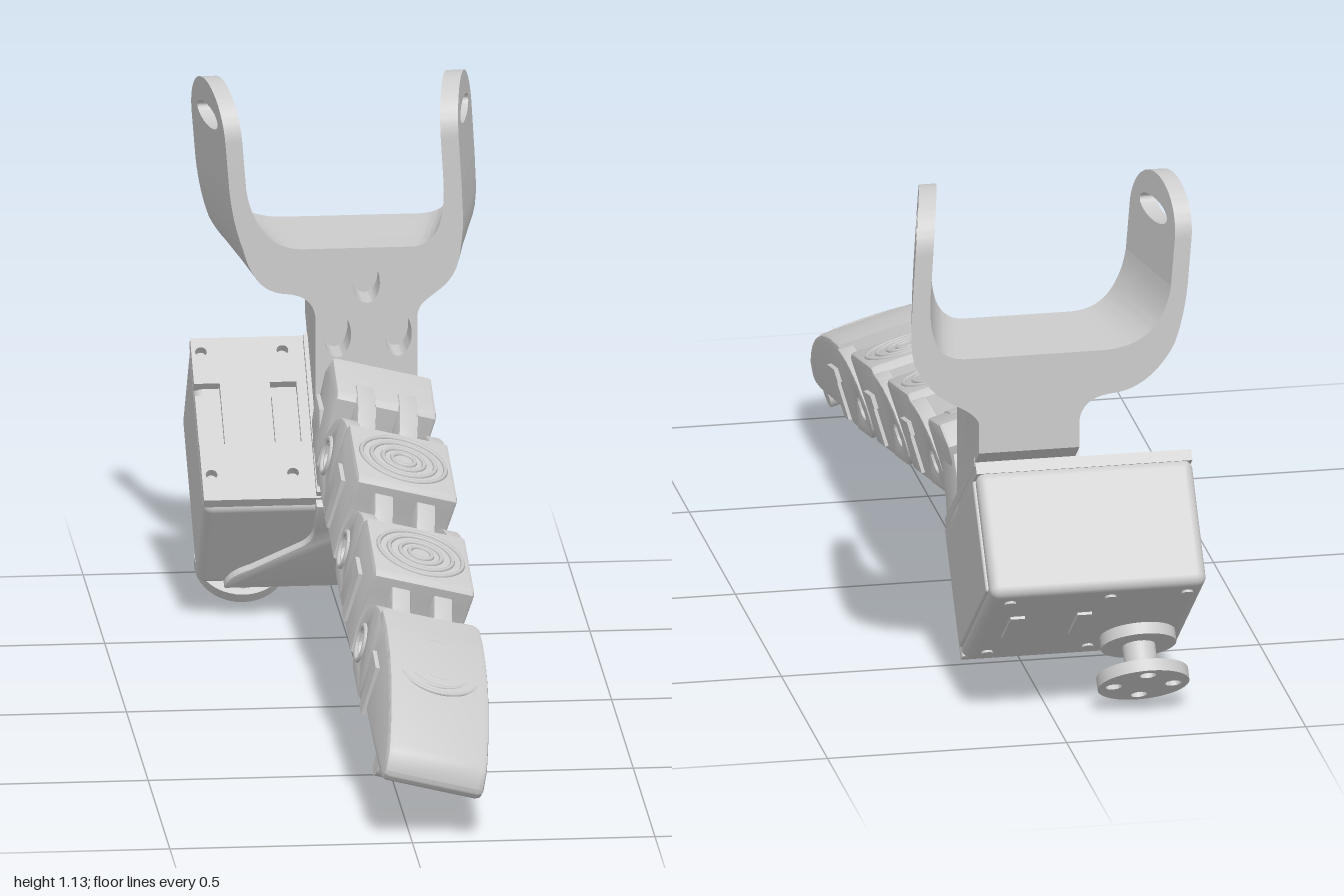
import * as THREE from 'three';
import { toCreasedNormals } from 'three/addons/utils/BufferGeometryUtils.js';
import { RoundedBoxGeometry } from 'three/addons/geometries/RoundedBoxGeometry.js';

const mat = new THREE.MeshStandardMaterial({ color: 0xcccccc });
const rad = THREE.MathUtils.degToRad;

function add(parent, name, geo, x = 0, y = 0, z = 0) {
  const m = new THREE.Mesh(geo, mat);
  m.name = name;
  m.position.set(x, y, z);
  parent.add(m);
  return m;
}
const shapeOf = pts => new THREE.Shape(pts.map(p => new THREE.Vector2(p[0], p[1])));
function circleHole(shape, x, y, rx, ry = rx) {
  shape.holes.push(new THREE.Path().absellipse(x, y, rx, ry, 0, Math.PI * 2, true));
}
function rectHole(shape, x0, y0, x1, y1) {
  shape.holes.push(new THREE.Path([[x0, y0], [x0, y1], [x1, y1], [x1, y0]].map(p => new THREE.Vector2(...p))));
}
function extrude(shape, depth, bevel = 0) {
  return new THREE.ExtrudeGeometry(shape, {
    depth: depth - 2 * bevel, curveSegments: 20, bevelEnabled: bevel > 0,
    bevelSize: bevel, bevelThickness: bevel, bevelOffset: -bevel, bevelSegments: 2,
  }).translate(0, 0, bevel);
}
// Side outline given as (z, y), extruded from x0 to x1
function sideExtrude(shape, x0, x1, bevel = 0) {
  const g = extrude(shape, x1 - x0, bevel).rotateY(-Math.PI / 2).translate(x1, 0, 0);
  return toCreasedNormals(g, 0.6);
}
const cylX = (r, len, n = 24) => new THREE.CylinderGeometry(r, r, len, n).rotateZ(Math.PI / 2);

const W = 0.107;      // half width of the finger
const STEP = 0.405;   // distance between joints
const BOT = -0.066, TOP = 0.131;

// Round-ended side plate reaching back around a joint
function earShape() {
  const s = new THREE.Shape();
  s.moveTo(0.13, BOT);
  s.lineTo(0.13, 0.115);
  s.lineTo(0.08, 0.118);
  s.quadraticCurveTo(-0.035, 0.1, -0.068, 0.01);
  s.quadraticCurveTo(-0.07, -0.05, -0.01, BOT);
  circleHole(s, 0, 0, 0.026);
  return s;
}
// Tongue that runs forward to the joint at z = j
function lugShape(j) {
  const s = new THREE.Shape();
  s.moveTo(j - 0.13, -0.055);
  s.lineTo(j, -0.06);
  s.absarc(j, 0, 0.06, -Math.PI / 2, Math.PI / 4, false);
  s.quadraticCurveTo(j - 0.02, 0.11, j - 0.13, 0.11);
  return s;
}
function lugs(parent, j) {
  for (const x of [-0.045, 0.045]) add(parent, 'jointTongue', sideExtrude(lugShape(j), x - 0.02, x + 0.02, 0.004));
}
function rings(parent, y, z, tilt) {
  const g = new THREE.Group();
  g.name = 'gripRings';
  g.position.set(0, y, z);
  g.rotation.x = tilt;
  for (const r of [0.024, 0.044, 0.068, 0.09])
    add(g, 'gripRing', new THREE.TorusGeometry(r, 0.005, 6, 48).rotateX(Math.PI / 2));
  parent.add(g);
}
// Parts shared by every phalanx: ears, hinge pin, side clips, underside screws
function phalanxBase(name, z) {
  const g = new THREE.Group();
  g.name = name;
  g.position.z = z;
  for (const s of [-1, 1]) {
    add(g, 'hingeEar', sideExtrude(earShape(), s > 0 ? W - 0.034 : -W, s > 0 ? W : -W + 0.034, 0.004));
    add(g, 'sideClip', new THREE.BoxGeometry(0.012, 0.11, 0.045), s * (W + 0.001), 0.005, 0.2);
    add(g, 'sideClipTab', new THREE.BoxGeometry(0.016, 0.03, 0.075), s * (W + 0.001), 0.05, 0.19);
    for (const dz of [0.11, 0.29])
      add(g, 'undersideScrew', new THREE.CylinderGeometry(0.012, 0.012, 0.008, 16), s * 0.075, BOT, dz === 0.29 ? 0.16 : dz);
  }
  add(g, 'hingePin', cylX(0.022, 2 * W - 0.012));
  add(g, 'pinCollar', new THREE.TorusGeometry(0.036, 0.006, 8, 28).rotateY(Math.PI / 2), -W, 0, 0);
  return g;
}

function phalanx(name, z) {
  const g = phalanxBase(name, z);
  const body = shapeOf([[0.085, BOT], [0.325, BOT], [0.318, 0], [0.33, 0.08], [0.335, TOP - 0.008],
    [0.32, TOP], [0.1, TOP], [0.085, TOP - 0.015]]);
  add(g, 'phalanxBody', sideExtrude(body, -W, W, 0.008));
  rings(g, TOP, 0.21, 0);
  lugs(g, STEP);
  return g;
}

function fingertip(z) {
  const g = phalanxBase('fingertip', z);
  const s = new THREE.Shape();
  s.moveTo(0.085, BOT);
  s.lineTo(0.18, BOT);
  s.lineTo(0.19, -0.045);
  s.lineTo(0.51, -0.035);
  s.quadraticCurveTo(0.555, -0.03, 0.55, 0.0);
  s.lineTo(0.525, 0.035);
  s.bezierCurveTo(0.43, 0.09, 0.3, 0.128, 0.15, 0.13);
  s.lineTo(0.07, 0.125);
  add(g, 'fingertipBody', sideExtrude(s, -W, W, 0.012));
  rings(g, 0.114, 0.27, 0.12);
  for (const x of [-0.065, 0.065]) add(g, 'tipRoller', cylX(0.028, 0.08), x, -0.036, 0.45);
  return g;
}

function finger() {
  const g = new THREE.Group();
  g.name = 'finger';
  g.position.set(0.046, 0.416, -0.33);
  g.rotation.set(rad(12), 0, rad(-15));
  const base = shapeOf([[-0.075, BOT], [-0.075, 0.095], [-0.09, 0.105], [-0.225, 0.11], [-0.255, 0.065],
    [-0.23, 0], [-0.16, BOT]]);
  add(g, 'knuckleBlock', sideExtrude(base, -W, W, 0.008));
  lugs(g, 0);
  g.add(phalanx('innerPhalanx', 0), phalanx('middlePhalanx', STEP), fingertip(2 * STEP));
  return g;
}

function motor() {
  const g = new THREE.Group();
  g.name = 'motorUnit';
  g.position.set(0, 0.315, -0.743);
  g.rotation.x = rad(38);
  add(g, 'motorHousing', new RoundedBoxGeometry(0.452, 0.272, 0.42, 3, 0.02), -0.07, -0.009, 0);
  // Lid with screw holes and clip windows; shape y runs along -z
  const lid = shapeOf([[-0.296, -0.205], [0.155, -0.205], [0.155, 0.205], [-0.296, 0.205],
    [-0.296, 0.09], [-0.243, 0.09], [-0.243, -0.063], [-0.296, -0.063]]);
  for (const x of [-0.276, -0.108]) for (const y of [0.17, -0.14]) circleHole(lid, x, y, 0.012);
  rectHole(lid, -0.14, -0.063, -0.085, 0.09);
  add(g, 'motorLid', extrude(lid, 0.024).rotateX(-Math.PI / 2), 0, 0.122, 0);
  for (const x of [-0.27, -0.112]) add(g, 'lidClip', new THREE.BoxGeometry(0.052, 0.018, 0.125), x, 0.132, 0.0);
  // Cover on the front wall with a sloping edge
  const cover = new THREE.Shape();
  cover.moveTo(-0.24, -0.14);
  cover.quadraticCurveTo(-0.24, -0.1, -0.19, -0.075);
  cover.lineTo(-0.09, 0.0);
  cover.quadraticCurveTo(-0.065, 0.02, -0.065, 0.06);
  cover.lineTo(-0.065, 0.14);
  cover.lineTo(0.155, 0.14);
  cover.lineTo(0.155, -0.14);
  add(g, 'frontCover', toCreasedNormals(extrude(cover, 0.025, 0.006), 0.6), 0, 0, 0.2);
  add(g, 'sidePanel', new RoundedBoxGeometry(0.012, 0.24, 0.37, 2, 0.005), 0.156, -0.005, 0);
  add(g, 'mountPlate', new THREE.BoxGeometry(0.22, 0.02, 0.4), 0.046, 0.15, 0);
  // Underside ribs and screws
  for (const x of [-0.06, 0.08]) add(g, 'undersideRib', new THREE.BoxGeometry(0.03, 0.01, 0.13), x, -0.146, 0);
  for (const x of [-0.26, -0.1, 0.11]) for (const z of [-0.16, 0.16])
    add(g, 'undersideScrew', new THREE.CylinderGeometry(0.012, 0.012, 0.008, 16), x, -0.146, z);
  // Output horn: collar, shaft and drilled disc
  add(g, 'hornCollar', new THREE.CylinderGeometry(0.078, 0.078, 0.025, 40), -0.19, -0.168, 0.074);
  add(g, 'hornShaft', new THREE.CylinderGeometry(0.034, 0.034, 0.12, 28), -0.19, -0.2, 0.074);
  const disc = new THREE.Shape().absarc(0, 0, 0.095, 0, Math.PI * 2, false);
  for (let i = 0; i < 4; i++) circleHole(disc, 0.062 * Math.cos(i * Math.PI / 2), 0.062 * Math.sin(i * Math.PI / 2), 0.017);
  add(g, 'hornDisc', toCreasedNormals(extrude(disc, 0.026).rotateX(-Math.PI / 2), 0.6), -0.19, -0.266, 0.074);
  return g;
}

// Fork: arms flare outward to the back, stem foot follows the sloping lid
const ZC = -0.735, ZH = 0.12;
function flare(geo) {
  const p = geo.attributes.position;
  for (let i = 0; i < p.count; i++) {
    const x = p.getX(i), y = p.getY(i), z = p.getZ(i);
    const k = THREE.MathUtils.clamp((y - 0.66) / 0.14, 0, 1);
    p.setX(i, x + Math.sign(x) * k * Math.min(1, Math.abs(x) / 0.2) * 0.2 * (ZC - z));
    if (y < 0.45) p.setY(i, 0.435 - (z + 0.654) * 0.78);
  }
  return toCreasedNormals(geo, 0.6);
}
function fork() {
  const g = new THREE.Group();
  g.name = 'fork';
  const outline = () => {
    const s = new THREE.Shape();
    s.moveTo(-0.055, 0.4);
    s.lineTo(0.155, 0.4);
    s.lineTo(0.155, 0.655);
    s.bezierCurveTo(0.165, 0.71, 0.275, 0.69, 0.273, 0.86);
    s.lineTo(0.27, 0.93);
    s.lineTo(0.233, 0.93);
    s.bezierCurveTo(0.235, 0.84, 0.215, 0.8, 0.16, 0.8);
    s.lineTo(-0.09, 0.8);
    s.bezierCurveTo(-0.17, 0.8, -0.21, 0.85, -0.222, 0.93);
    s.lineTo(-0.257, 0.93);
    s.bezierCurveTo(-0.245, 0.82, -0.21, 0.71, -0.12, 0.705);
    s.quadraticCurveTo(-0.06, 0.7, -0.055, 0.65);
    return s;
  };
  const front = outline();
  circleHole(front, 0.052, 0.73, 0.03, 0.048);
  circleHole(front, -0.01, 0.615, 0.028, 0.048);
  circleHole(front, 0.115, 0.615, 0.028, 0.048);
  add(g, 'forkFront', flare(extrude(front, 0.08).translate(0, 0, ZC + ZH - 0.08)));
  add(g, 'forkBack', flare(extrude(outline(), 2 * ZH - 0.08).translate(0, 0, ZC - ZH)));
  // Rounded arm ends with a slot
  for (const [x0, x1, lean] of [[0.233, 0.27, -0.06], [-0.257, -0.222, -0.08]]) {
    const s = new THREE.Shape();
    s.moveTo(ZC - ZH, 0.93);
    s.lineTo(ZC + ZH, 0.93);
    s.lineTo(ZC + ZH, 1.03);
    s.absellipse(ZC, 1.03, ZH, 0.105, 0, Math.PI, false);
    circleHole(s, ZC, 1.058, 0.072, 0.024);
    const geo = sideExtrude(s, x0, x1);
    const p = geo.attributes.position;
    for (let i = 0; i < p.count; i++) p.setX(i, p.getX(i) + lean * (p.getY(i) - 0.93));
    add(g, 'forkArmEnd', flare(geo));
  }
  return g;
}

export function createModel() {
  const model = new THREE.Group();
  model.name = 'roboticFinger';
  model.add(finger(), motor(), fork());
  // Neck joining the knuckle to the motor unit
  const neck = shapeOf([[-0.45, 0.4], [-0.49, 0.36], [-0.505, 0.285], [-0.64, 0.39], [-0.62, 0.44], [-0.545, 0.51], [-0.47, 0.5]].reverse());
  add(model, 'neck', sideExtrude(neck, -0.062, 0.155, 0.006));
  return model;
}
